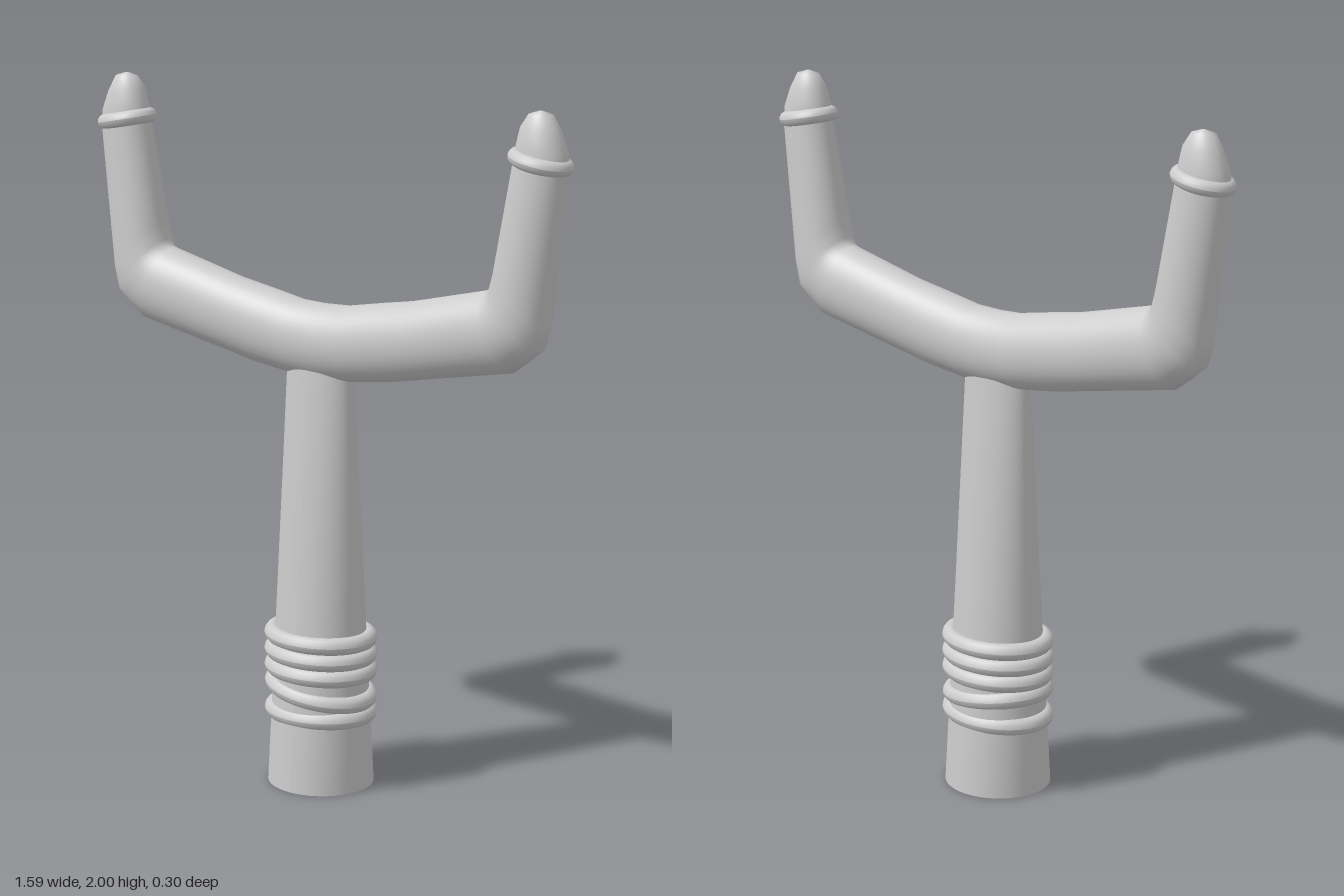
import * as THREE from 'three';

const material = new THREE.MeshStandardMaterial({ color: 0xcccccc });

function part(name, geometry, parent) {
  const mesh = new THREE.Mesh(geometry, material);
  mesh.name = name;
  parent.add(mesh);
  return mesh;
}

// Half of the fork: [outer x, outer y, inner x, inner y, half depth]
const HALF_FORK = [
  [0, 1.19, 0, 1.405, 0.085],
  [0.1, 1.195, 0.08, 1.408, 0.085],
  [0.23, 1.212, 0.2, 1.43, 0.086],
  [0.33, 1.232, 0.3, 1.447, 0.086],
  [0.63, 1.29, 0.54, 1.505, 0.086],
  [0.68, 1.328, 0.555, 1.51, 0.085],
  [0.718, 1.36, 0.564, 1.525, 0.084],
  [0.735, 1.425, 0.575, 1.57, 0.082],
  [0.785, 1.83, 0.626, 1.865, 0.06],
  [0.783, 1.89, 0.632, 1.9, 0.057],
  [0.762, 1.945, 0.645, 1.955, 0.046],
  [0.738, 1.99, 0.668, 1.99, 0.028],
  [0.705, 2.0, 0.7, 2.0, 0.002],
];

// Loft of elliptical loops from the right tip to the left tip
function forkGeometry() {
  const mirrored = HALF_FORK.slice(1).reverse().map(([a, b, c, d, e]) => [-a, b, -c, d, e]);
  const sections = [...mirrored, ...HALF_FORK];
  const sides = 40;
  const positions = [];
  const indices = [];
  sections.forEach(([ox, oy, ix, iy, depth], i) => {
    for (let j = 0; j < sides; j++) {
      const t = (j / sides) * Math.PI * 2;
      const k = Math.cos(t) / 2;
      positions.push(
        (ox + ix) / 2 + k * (ox - ix),
        (oy + iy) / 2 + k * (oy - iy),
        Math.sin(t) * depth,
      );
      if (i === sections.length - 1) continue;
      const a = i * sides + j;
      const b = i * sides + ((j + 1) % sides);
      indices.push(a, a + sides, b + sides, a, b + sides, b);
    }
  });
  const geometry = new THREE.BufferGeometry();
  geometry.setAttribute('position', new THREE.Float32BufferAttribute(positions, 3));
  geometry.setIndex(indices);
  geometry.computeVertexNormals();
  return geometry;
}

// Handle: round foot flattening into a narrow ellipse at the top
function handleGeometry() {
  const height = 1.27;
  const geometry = new THREE.CylinderGeometry(1, 1, height, 48, 6);
  geometry.translate(0, height / 2, 0);
  const p = geometry.attributes.position;
  for (let i = 0; i < p.count; i++) {
    const f = p.getY(i) / height;
    p.setX(i, p.getX(i) * THREE.MathUtils.lerp(0.155, 0.107, f));
    p.setZ(i, p.getZ(i) * THREE.MathUtils.lerp(0.15, 0.057, f));
  }
  geometry.computeVertexNormals();
  return geometry;
}

// Oval ring lying flat, rx and rz measured to the outside
function ringGeometry(rx, rz, tube) {
  const geometry = new THREE.TorusGeometry(1, tube, 14, 48);
  geometry.rotateX(Math.PI / 2);
  const p = geometry.attributes.position;
  for (let i = 0; i < p.count; i++) {
    const x = p.getX(i);
    const z = p.getZ(i);
    const r = Math.hypot(x, z);
    p.setX(i, (x / r) * (rx - tube + r - 1));
    p.setZ(i, (z / r) * (rz - tube + r - 1));
  }
  geometry.computeVertexNormals();
  return geometry;
}

export function createModel() {
  const model = new THREE.Group();
  model.name = 'slingshot';

  part('fork', forkGeometry(), model);
  part('handle', handleGeometry(), model).position.x = -0.01;

  // Cord wound around the grip: [height, tilt]
  const wrap = new THREE.Group();
  wrap.name = 'gripWrap';
  model.add(wrap);
  const windings = [[0.44, 0], [0.391, 0], [0.343, 0], [0.28, -0.13], [0.215, 0.02]];
  for (const [y, tilt] of windings) {
    const ring = part('gripRing', ringGeometry(0.172, 0.143, 0.025), wrap);
    ring.position.set(-0.01, y, 0);
    ring.rotation.z = tilt;
  }

  // Bands near the prong tips
  for (const side of [-1, 1]) {
    const band = part(side > 0 ? 'leftTipBand' : 'rightTipBand', ringGeometry(0.093, 0.077, 0.022), model);
    band.position.set(side * 0.704, 1.866, 0);
    band.rotation.z = -side * 0.19;
  }
  return model;
}
